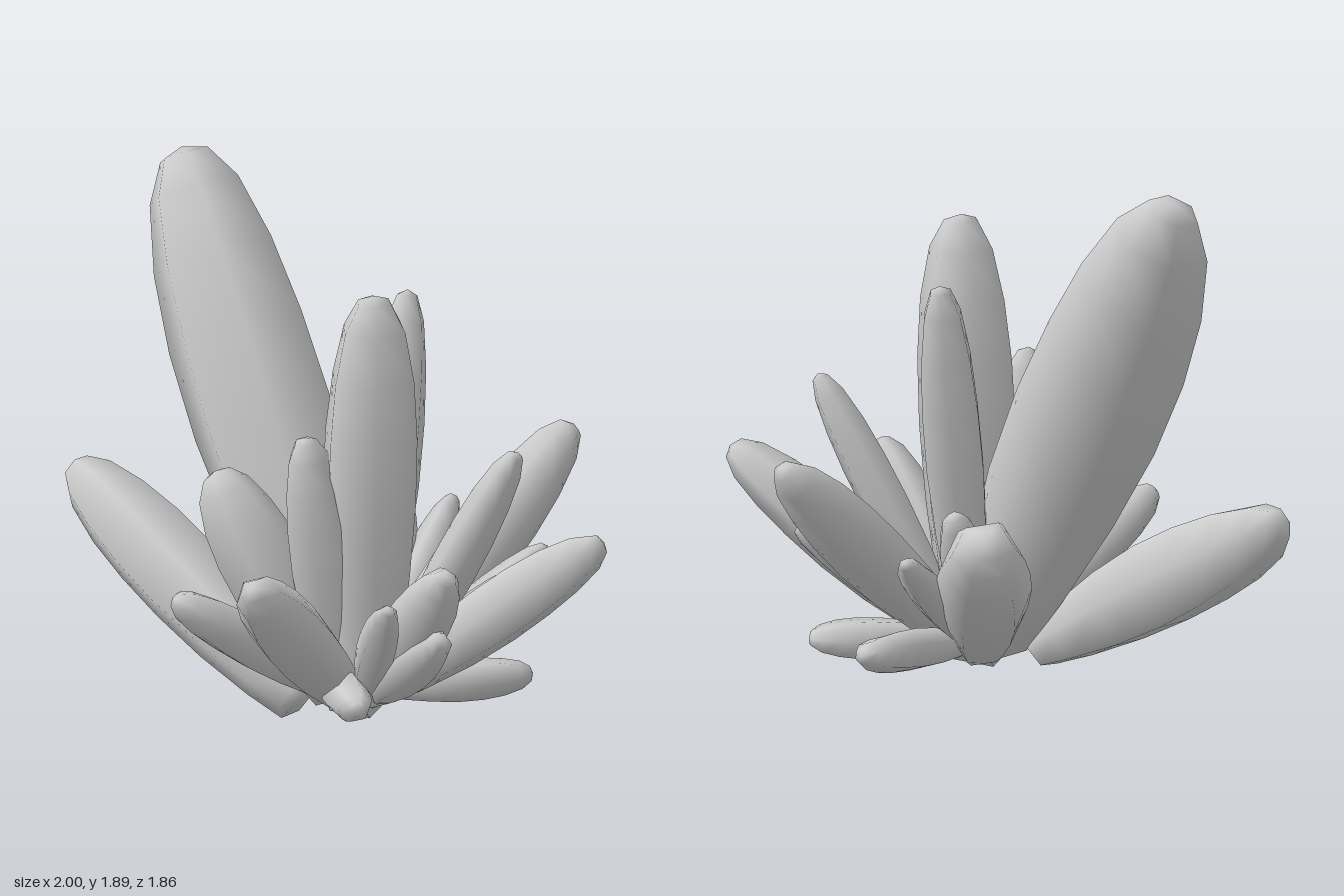
import * as THREE from 'three';
import { mergeVertices } from 'three/addons/utils/BufferGeometryUtils.js';

const SIDES = 6;

// Small seeded generator for slight irregularity
function seeded(seed) {
  let s = seed * 7919 + 17;
  return () => (s = (s * 16807) % 2147483647) / 2147483647;
}

// Radius along the length: sturdy root, fullest at the middle, blunt tip
const PROFILE = [
  [0, 0], [0.5, 0.005], [0.7, 0.13], [0.92, 0.32], [1.02, 0.5],
  [1, 0.66], [0.89, 0.8], [0.67, 0.92], [0.36, 0.985], [0, 1],
];

function crystalGeometry(length, radius, seed) {
  const rnd = seeded(seed);
  rnd();
  const lathe = new THREE.LatheGeometry(
    PROFILE.map(([r, t]) => new THREE.Vector2(r * radius, t * length)), SIDES, rnd() * 6);
  lathe.deleteAttribute('uv');
  lathe.deleteAttribute('normal');
  const geometry = mergeVertices(lathe, 1e-5);
  // Uneven facets
  const phase = rnd() * 6;
  const p = geometry.attributes.position;
  for (let i = 0; i < p.count; i++) {
    const x = p.getX(i), y = p.getY(i), z = p.getZ(i);
    const a = Math.atan2(z, x), t = y / length;
    const k = 1.05 + 0.04 * Math.sin(2 * a + phase) + 0.04 * Math.sin(3 * a + 5 * t + phase);
    p.setXYZ(i, x * k, y, z * k);
  }
  geometry.computeVertexNormals();
  return geometry;
}

// Middle of the cluster; roots sit on a small ring around it
const HEART = new THREE.Vector3(0.22, 0.12, 0.06);
const ROOT_RING = 0.09;

// name, tip, radius, own root where it leaves the ring
const CRYSTALS = [
  ['giantLeaningCrystal', [-0.79, 1.89, 0.1], 0.245, [0.2, 0.12, 0.1]],
  ['lowLeftCrystal', [-0.99, 0.71, 0.43], 0.16, [0.11, 0.08, 0.25]],
  ['tallUprightCrystal', [0.37, 1.64, 0.1], 0.17, [0.31, 0.1, 0.09]],
  ['tallBackCrystal', [0.04, 1.5, -0.29], 0.105],
  ['frontUprightCrystal', [0.28, 1.13, 0.34], 0.11],
  ['frontLeftCrystal', [-0.07, 0.94, 0.48], 0.14, [0.24, 0.12, 0.18]],
  ['frontSmallCrystal', [0.11, 0.57, 0.79], 0.09],
  ['frontRightCrystal', [0.73, 0.79, 0.91], 0.125],
  ['farRightCrystal', [0.98, 0.77, -0.46], 0.11],
  ['backRightTallCrystal', [0.69, 1.06, -0.3], 0.08],
  ['rightCrystal', [0.85, 0.72, 0.13], 0.11],
  ['rightThinCrystal', [0.81, 0.63, 0.36], 0.065],
  ['rightLowCrystal', [0.81, 0.47, 0.12], 0.085],
  ['frontLowCrystal', [0.67, 0.22, 0.39], 0.075, [0.25, 0.2, 0.2]],
  ['backCrystal', [0.18, 0.91, -0.92], 0.12],
  ['backLeftCrystal', [-0.42, 0.67, -0.48], 0.17],
  ['backLeftThinCrystal', [-0.2, 0.59, -0.67], 0.065],
  ['backLowCrystal', [0.05, 0.2, -0.66], 0.075],
  ['backRightLowCrystal', [0.52, 0.15, -0.49], 0.075],
  ['backRightThinCrystal', [0.46, 0.59, -0.6], 0.065],
  ['backRightCrystal', [0.57, 0.55, -0.44], 0.08],
  ['innerBackCrystal', [0.01, 0.66, -0.25], 0.08],
  ['innerLeftCrystal', [-0.1, 0.6, -0.18], 0.075],
];

function ringRoot(tip) {
  const out = tip.clone().sub(HEART).setY(0);
  return out.setLength(ROOT_RING).add(HEART);
}

export function createModel() {
  const group = new THREE.Group();
  const material = new THREE.MeshStandardMaterial({ color: 0xcccccc });
  const up = new THREE.Vector3(0, 1, 0);

  CRYSTALS.forEach(([name, tipPoint, radius, ownRoot], i) => {
    const tip = new THREE.Vector3(...tipPoint);
    const root = ownRoot ? new THREE.Vector3(...ownRoot) : ringRoot(tip);
    const axis = tip.sub(root);
    const mesh = new THREE.Mesh(crystalGeometry(axis.length(), radius, i + 1), material);
    mesh.name = name;
    mesh.position.copy(root);
    mesh.quaternion.setFromUnitVectors(up, axis.normalize());
    group.add(mesh);
  });

  // Rough core where the crystals meet
  const core = new THREE.Mesh(new THREE.IcosahedronGeometry(1, 0), material);
  core.name = 'core';
  core.scale.set(0.13, 0.11, 0.15);
  core.position.copy(HEART);
  group.add(core);

  return group;
}
